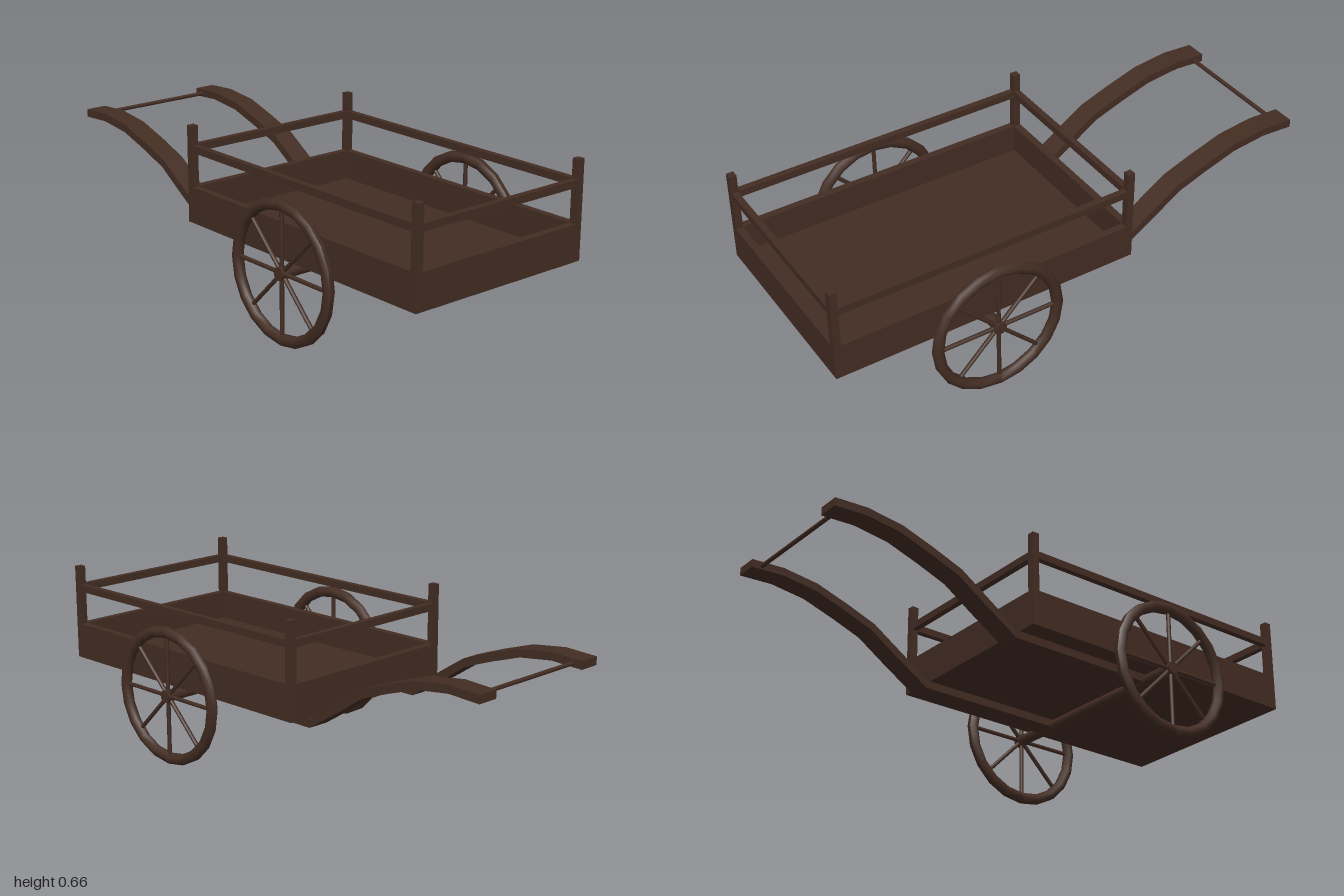
import * as THREE from 'three';

export function createModel() {
  const cart = new THREE.Group();
  cart.name = 'handcart';
  const wood = new THREE.MeshStandardMaterial({ color: 0x432d23 });
  wood.name = 'dark wood';

  const add = (parent, name, geometry, x = 0, y = 0, z = 0) => {
    const mesh = new THREE.Mesh(geometry, wood);
    mesh.name = name;
    mesh.position.set(x, y, z);
    parent.add(mesh);
    return mesh;
  };
  // Box given by its limits on each axis
  const box = (name, x0, x1, y0, y1, z0, z1) =>
    add(cart, name, new THREE.BoxGeometry(x1 - x0, y1 - y0, z1 - z0),
      (x0 + x1) / 2, (y0 + y1) / 2, (z0 + z1) / 2);

  // Bed: floor, walls, corner posts and rails
  const L = -0.215, R = 1, W = 0.39, T = 0.028, B = 0.287, H = 0.425;
  box('floor', L + T, R - T, B, B + 0.025, -W + T, W - T);
  for (const s of [-1, 1]) {
    const zi = s * (W - T), zo = s * W;
    const [z0, z1] = [Math.min(zi, zo), Math.max(zi, zo)];
    box('sideWall', L + T, R - T, B, H, z0, z1);
    box('sideRail', L + T, R - T, 0.557, 0.585, z0 + 0.002, z1 - 0.002);
    box('cornerPost', L, L + T, B, 0.657, z0, z1);
    box('cornerPost', R - T, R, B, 0.657, z0, z1);
  }
  for (const x of [L, R - T]) {
    box('endWall', x, x + T, B, H, -W + T, W - T);
    box('endRail', x + 0.002, x + T - 0.002, 0.557, 0.585, -W + T, W - T);
  }

  // Handles: a bent plank outline, offset to both sides of its centre line
  const path = [[-1, 0.53], [-0.87, 0.537], [-0.73, 0.52], [-0.6, 0.478], [-0.48, 0.434],
    [-0.36, 0.355], [-0.23, 0.271], [0.4, 0.271]].map(p => new THREE.Vector2(...p));
  const half = 0.0155;
  const top = [], bottom = [];
  path.forEach((p, i) => {
    const a = path[Math.max(i - 1, 0)], b = path[Math.min(i + 1, path.length - 1)];
    const d = b.clone().sub(a).normalize();
    const n = i === 0 ? new THREE.Vector2(0, 1) : new THREE.Vector2(-d.y, d.x);
    top.push(p.clone().addScaledVector(n, half));
    bottom.unshift(p.clone().addScaledVector(n, -half));
  });
  const plank = new THREE.ExtrudeGeometry(new THREE.Shape([...bottom, ...top]),
    { depth: 0.085, bevelEnabled: false });
  add(cart, 'leftHandle', plank, 0, 0, 0.23);
  add(cart, 'rightHandle', plank, 0, 0, -0.315);
  add(cart, 'handleBar', new THREE.CylinderGeometry(0.008, 0.008, 0.48, 8), -0.96, 0.53, 0)
    .rotation.x = Math.PI / 2;

  // Axle
  const cx = 0.39, cy = 0.266;
  add(cart, 'axle', new THREE.CylinderGeometry(0.022, 0.022, 0.88, 16), cx, cy, 0)
    .rotation.x = Math.PI / 2;

  // Wheels: octagonal rim section turned round the axle, hub and eight spokes
  const section = [];
  for (let i = 0; i <= 8; i++) {
    const a = (i + 0.5) * Math.PI / 4;
    section.push(new THREE.Vector2(0.246 + 0.0216 * Math.cos(a), 0.0216 * Math.sin(a)));
  }
  const rim = new THREE.LatheGeometry(section.reverse(), 20);
  // Make sure the rim faces outwards
  const pos = rim.attributes.position, ix = rim.index;
  const [p, q, r] = [0, 1, 2].map(k => new THREE.Vector3().fromBufferAttribute(pos, ix.getX(k)));
  const face = q.clone().sub(p).cross(r.clone().sub(p));
  const mid = p.clone().add(q).add(r).divideScalar(3);
  const core = new THREE.Vector3(mid.x, 0, mid.z).setLength(0.246);
  if (face.dot(mid.sub(core)) < 0) {
    const list = Array.from(ix.array);
    rim.setIndex(list.reverse());
  }
  rim.computeVertexNormals();
  const spoke = new THREE.CylinderGeometry(0.008, 0.008, 0.235, 8).translate(0, 0.1175, 0);
  for (const s of [-1, 1]) {
    const wheel = new THREE.Group();
    wheel.name = s > 0 ? 'leftWheel' : 'rightWheel';
    wheel.position.set(cx, cy, s * 0.441);
    add(wheel, 'rim', rim).rotation.x = Math.PI / 2;
    add(wheel, 'hub', new THREE.CylinderGeometry(0.024, 0.024, 0.034, 12)).rotation.x = Math.PI / 2;
    for (let i = 0; i < 8; i++) add(wheel, 'spoke', spoke).rotation.z = i * Math.PI / 4;
    cart.add(wheel);
  }
  return cart;
}
